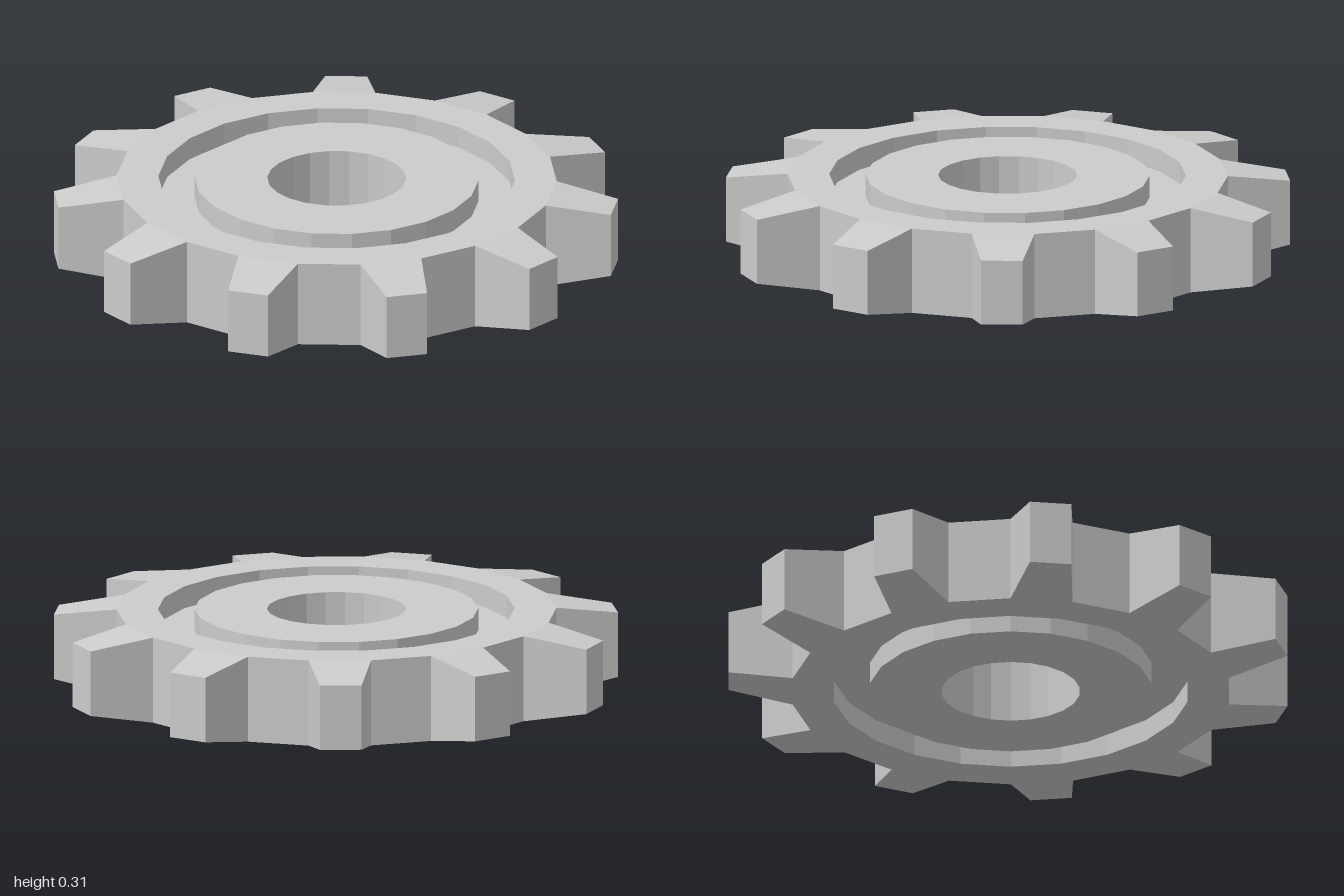
import * as THREE from 'three';

const TEETH = 11, SIDES = TEETH * 2;
const H = 0.31;            // overall thickness
const ROOT = 0.78, TIP = 1.002;
const HALF_ROOT = Math.PI / SIDES, HALF_TIP = 0.074;
const TIP_LOW = 0.04, TIP_HIGH = H - 0.035;

const material = new THREE.MeshStandardMaterial({ color: 0xcccccc, flatShading: true });

// Point at a radius, angle and height around the axle
const polar = (r, a, y) => [r * Math.cos(a), y, -r * Math.sin(a)];

// Flat-shaded geometry from counter-clockwise quads
function quads(list) {
  const pos = [];
  for (const [a, b, c, d] of list) pos.push(...a, ...b, ...c, ...a, ...c, ...d);
  const g = new THREE.BufferGeometry();
  g.setAttribute('position', new THREE.Float32BufferAttribute(pos, 3));
  g.computeVertexNormals();
  return g;
}

// Disc with axle hole and a ring groove in both faces (rim wall is added between teeth)
function bodyGeometry() {
  const hole = 0.246, hub = 0.503, rim = 0.632, depth = 0.08;
  const profile = [
    [ROOT, H], [rim, H], [rim, H - depth], [hub, H - depth], [hub, H], [hole, H],
    [hole, 0], [hub, 0], [hub, depth], [rim, depth], [rim, 0], [ROOT, 0],
  ].map(([r, y]) => new THREE.Vector2(r, y));
  const g = new THREE.LatheGeometry(profile, SIDES).toNonIndexed();
  g.computeVertexNormals();
  return g;
}

// Tapered tooth pointing along +x, open where it meets the body
function toothGeometry() {
  const [r0, r1, R0, R1] = [
    polar(ROOT, -HALF_ROOT, 0), polar(ROOT, HALF_ROOT, 0),
    polar(ROOT, -HALF_ROOT, H), polar(ROOT, HALF_ROOT, H),
  ];
  const [t0, t1, T0, T1] = [
    polar(TIP, -HALF_TIP, TIP_LOW), polar(TIP, HALF_TIP, TIP_LOW),
    polar(TIP, -HALF_TIP, TIP_HIGH), polar(TIP, HALF_TIP, TIP_HIGH),
  ];
  return quads([
    [t0, t1, T1, T0],   // tip
    [R0, T0, T1, R1],   // top slope
    [r1, t1, t0, r0],   // bottom slope
    [r0, t0, T0, R0],   // flanks
    [t1, r1, R1, T1],
  ]);
}

// Flat wall between two neighbouring teeth
function valleyGeometry() {
  const a = HALF_ROOT, b = HALF_ROOT * 3;
  return quads([[polar(ROOT, a, 0), polar(ROOT, b, 0), polar(ROOT, b, H), polar(ROOT, a, H)]]);
}

export function createModel() {
  const gear = new THREE.Group();
  gear.name = 'gear';
  gear.position.x = -0.013;

  const add = (geometry, name, angle = 0) => {
    const mesh = new THREE.Mesh(geometry, material);
    mesh.name = name;
    mesh.rotation.y = angle;
    gear.add(mesh);
  };

  add(bodyGeometry(), 'body');
  const tooth = toothGeometry(), valley = valleyGeometry();
  for (let i = 0; i < TEETH; i++) {
    const angle = (i / TEETH) * Math.PI * 2;
    add(tooth, `tooth${i + 1}`, angle);
    add(valley, `rimWall${i + 1}`, angle);
  }

  const model = new THREE.Group();
  model.name = 'gearModel';
  model.add(gear);
  return model;
}
